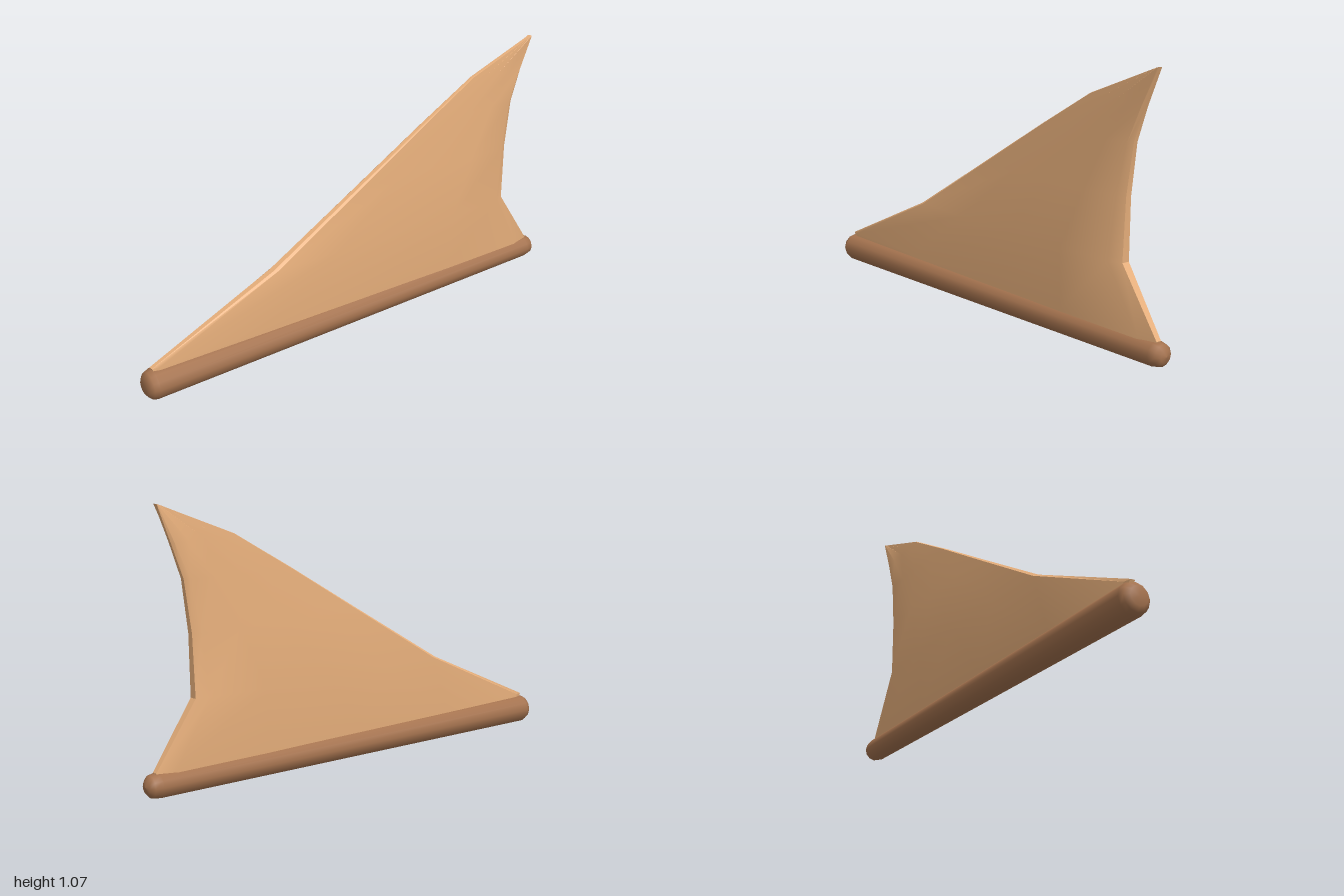
import * as THREE from 'three';
import { toCreasedNormals } from 'three/addons/utils/BufferGeometryUtils.js';

// Stations from foot to head: [front z, front y, back z, back y, half thickness]
const STATIONS = [
  [0.95, 0.09, -0.95, 0.08, 0.026],
  [0.97, 0.133, -0.96, 0.11, 0.028],
  [0.42, 0.37, -0.79, 0.36, 0.041],
  [0.0, 0.61, -0.797, 0.6, 0.031],
  [-0.33, 0.8, -0.825, 0.8, 0.022],
  [-0.6, 0.95, -0.873, 0.93, 0.016],
  [-0.915, 1.066, -0.93, 1.07, 0.011],
];

// Section from front edge to back edge: [fraction of chord, fraction of thickness]
const SECTION = [[0, 0.3], [0.015, 0.55], [0.25, 0.75], [0.5, 0.9], [0.75, 1], [0.96, 0.95], [1, 0.4]];

function sailGeometry() {
  const ring = [
    ...SECTION.map(([t, w]) => [t, w]),
    ...SECTION.map(([t, w]) => [t, -w]).reverse(),
  ];
  const n = ring.length;
  const positions = [];
  const index = [];
  for (const [fz, fy, bz, by, half] of STATIONS) {
    for (const [t, w] of ring) {
      positions.push(w * half, fy + (by - fy) * t, fz + (bz - fz) * t);
    }
  }
  for (let i = 0; i < STATIONS.length - 1; i++) {
    for (let j = 0; j < n; j++) {
      const a = i * n + j;
      const b = i * n + ((j + 1) % n);
      index.push(a, b, b + n, a, b + n, a + n);
    }
  }
  // Close the head and the foot
  const top = (STATIONS.length - 1) * n;
  for (let j = 1; j < n - 1; j++) {
    index.push(top, top + j, top + j + 1);
    index.push(0, j + 1, j);
  }
  const geometry = new THREE.BufferGeometry();
  geometry.setAttribute('position', new THREE.Float32BufferAttribute(positions, 3));
  geometry.setIndex(index);
  return toCreasedNormals(geometry, 0.6);
}

// Tapered spar with rounded ends, turned to lie along z
function boomGeometry() {
  const profile = [
    [0, -1], [0.025, -0.995], [0.042, -0.98], [0.048, -0.95],
    [0.061, 0.965], [0.054, 0.985], [0.036, 1], [0, 1],
  ].map(([r, z]) => new THREE.Vector2(r, z));
  return new THREE.LatheGeometry(profile, 12).rotateX(Math.PI / 2);
}

export function createModel() {
  const model = new THREE.Group();
  model.name = 'boomSail';

  const sail = new THREE.Mesh(sailGeometry(), new THREE.MeshStandardMaterial({ color: 0xe8b07c }));
  sail.name = 'sail';

  const boom = new THREE.Mesh(boomGeometry(), new THREE.MeshStandardMaterial({ color: 0xa5734f }));
  boom.name = 'boom';
  boom.position.y = 0.063;

  model.add(sail, boom);
  return model;
}
